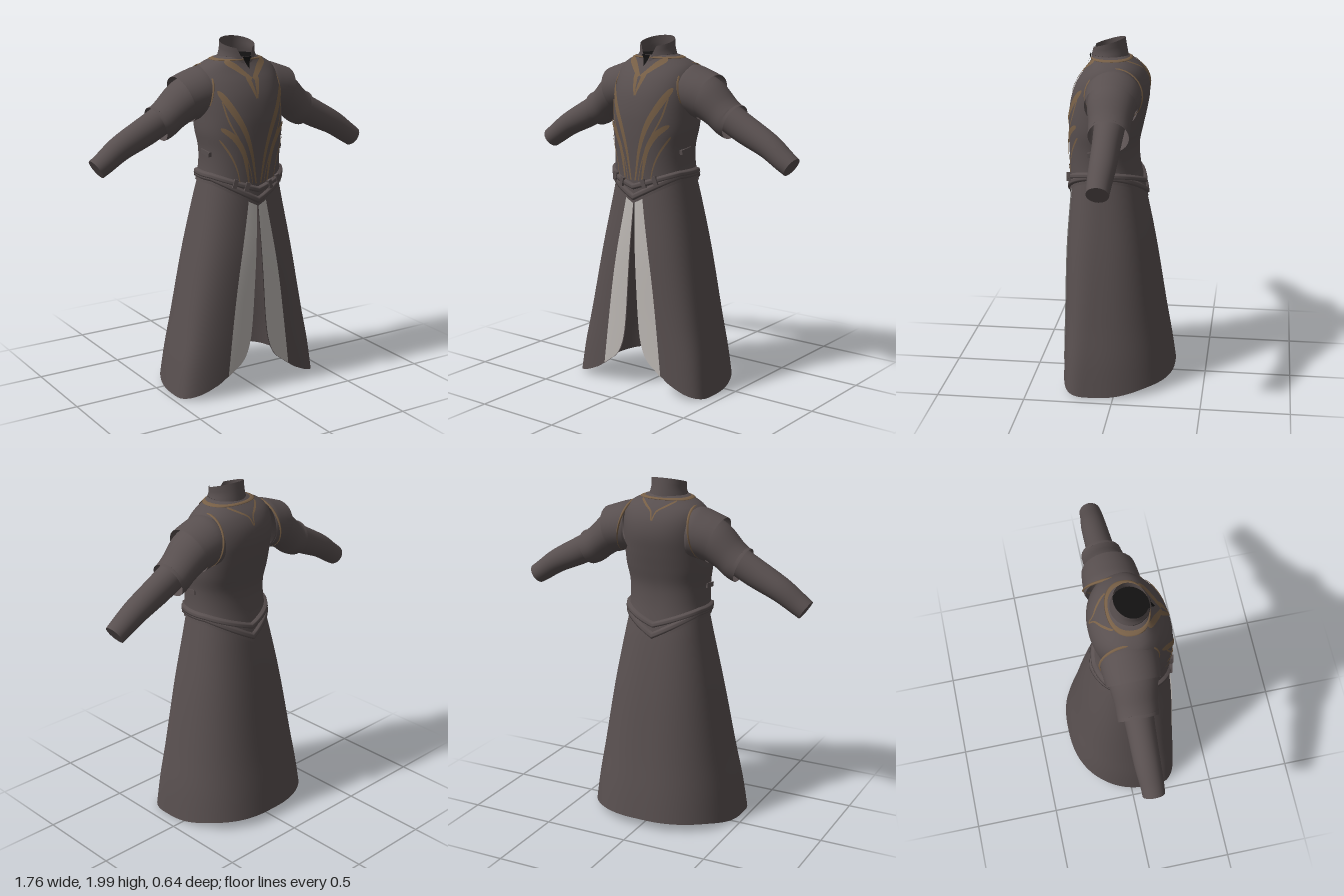
import * as THREE from 'three';
import { mergeVertices } from 'three/addons/utils/BufferGeometryUtils.js';

const paint = (name, color) => {
  const m = new THREE.MeshStandardMaterial({ color, side: THREE.DoubleSide });
  m.name = name;
  return m;
};

// Smooth interpolation through rows of [key, value, value, ...] with rising keys
function interp(rows, k) {
  const n = rows.length;
  if (k <= rows[0][0]) return rows[0].slice(1);
  if (k >= rows[n - 1][0]) return rows[n - 1].slice(1);
  let i = 0;
  while (rows[i + 1][0] < k) i++;
  const a = rows[i], b = rows[i + 1], p = rows[Math.max(0, i - 1)], q = rows[Math.min(n - 1, i + 2)];
  const h = b[0] - a[0], t = (k - a[0]) / h;
  return a.slice(1).map((_, j) => {
    const c = j + 1;
    const m0 = (b[c] - p[c]) / (b[0] - p[0]) * h, m1 = (q[c] - a[c]) / (q[0] - a[0]) * h;
    const t2 = t * t, t3 = t2 * t;
    return (2 * t3 - 3 * t2 + 1) * a[c] + (t3 - 2 * t2 + t) * m0 + (3 * t2 - 2 * t3) * b[c] + (t3 - t2) * m1;
  });
}

// Body outlines: y, half width, front z, back z, z of the widest line, front squareness
const VEST = { n: 2.25, rows: [
  [1.08, 0.262, 0.297, -0.155, 0.07], [1.2, 0.243, 0.292, -0.125, 0.08], [1.3, 0.23, 0.293, -0.105, 0.09],
  [1.4, 0.232, 0.296, -0.10, 0.09], [1.5, 0.248, 0.297, -0.12, 0.08], [1.6, 0.25, 0.292, -0.142, 0.07],
  [1.7, 0.25, 0.272, -0.157, 0.06], [1.78, 0.245, 0.235, -0.145, 0.05], [1.84, 0.225, 0.19, -0.11, 0.045],
  [1.875, 0.175, 0.168, -0.07, 0.05], [1.905, 0.1, 0.16, -0.03, 0.07]] };
const SKIRT = { n: 2.4, rows: [
  [0, 0.45, 0.315, -0.33, 0.13, 3.8], [0.2, 0.422, 0.313, -0.3, 0.12, 3.5], [0.4, 0.384, 0.311, -0.265, 0.105, 3.2],
  [0.8, 0.311, 0.305, -0.2, 0.08, 2.8], [1.1, 0.25, 0.285, -0.14, 0.075, 2.5], [1.25, 0.22, 0.27, -0.1, 0.08, 2.4]] };
const HEM = [[0, 0.13], [0.21, 0.13], [0.38, 0.085], [0.71, 0.04], [1.2, 0.015], [1.7, 0.01], [2.3, 0.05], [3.15, 0.06]];
const SLIT = [[0, 0.002], [0.13, 0.004], [0.55, 0.03], [0.8, 0.052], [0.9, 0.08], [0.96, 0.125], [1, 0.195]];
const FACING = [[0, 0.04], [0.13, 0.058], [0.53, 0.135], [1, 0.2]];

const spow = (v, e) => Math.sign(v) * Math.abs(v) ** e;

// Point on a body at angle phi (0 = front, PI/2 = left side) and height y
function bodyPoint(body, phi, y, off = 0) {
  const [w, zf, zb, zc, nf = body.n] = interp(body.rows, y);
  const c = Math.cos(phi), e = 2 / (c > 0 ? nf : body.n), d = (c > 0 ? zf - zc : zc - zb) + off;
  return [(w + off) * spow(Math.sin(phi), e), y, zc + d * spow(c, e)];
}
// Front angle at which a body reaches x
function angleOf(body, x, y) {
  const r = interp(body.rows, y), n = r[4] ?? body.n;
  return Math.asin(Math.min(1, Math.abs(x) / r[0]) ** (n / 2)) * Math.sign(x);
}

// Smooth surface from a function of (u, v), both 0..1
function surface(nu, nv, fn) {
  const pos = [], idx = [], r = nu + 1;
  for (let j = 0; j <= nv; j++) for (let i = 0; i <= nu; i++) pos.push(...fn(i / nu, j / nv));
  for (let j = 0; j < nv; j++) for (let i = 0; i < nu; i++) {
    const a = j * r + i;
    idx.push(a, a + r, a + 1, a + 1, a + r, a + r + 1);
  }
  const g = new THREE.BufferGeometry();
  g.setAttribute('position', new THREE.Float32BufferAttribute(pos, 3));
  g.setIndex(idx);
  const m = mergeVertices(g, 1e-5);
  m.computeVertexNormals();
  return m;
}

export function createModel() {
  const model = new THREE.Group();
  const cloth = paint('dark cloth', 0x584f4f), light = paint('pale facing', 0xbcb7b3);
  const gold = paint('bronze trim', 0x775f46), black = paint('black inside', 0x121111);
  const add = (name, geo, mat) => {
    const m = new THREE.Mesh(geo, mat);
    m.name = name;
    model.add(m);
    return m;
  };
  const TAU = Math.PI * 2;
  const vee = phi => Math.max(0, 1 - Math.abs(bodyPoint(VEST, phi, 1.2)[0]) / 0.23);
  const vestHem = phi => 1.215 - 0.125 * vee(phi);

  // Vest with pointed lower edge
  add('vest', surface(72, 40, (u, v) => {
    const phi = u * TAU, y = 1.905 + (vestHem(phi) - 1.905) * v;
    return bodyPoint(VEST, phi, y);
  }), cloth);

  // Raised bands round the body: two belts and the trim at the neck
  const band = (name, yOf, h, lift, mat) => add(name, surface(72, 5, (u, v) => {
    const phi = u * TAU;
    return bodyPoint(VEST, phi, yOf(phi) + (v - 0.5) * h, v === 0 || v === 1 ? -0.004 : lift);
  }), mat);
  band('lowerBelt', p => vestHem(p) + 0.035, 0.042, 0.012, cloth);
  band('upperBelt', p => 1.262 - 0.078 * vee(p), 0.036, 0.016, cloth);
  band('neckBand', () => 1.889, 0.012, 0.005, gold);

  // Open skirt, a little wider on its right, with pale facings laid along the slit
  const skirtPoint = (s, phi, t, off = 0) => {
    const y = 1.25 + (interp(HEM, Math.abs(phi))[0] - 1.25) * t;
    const p = bodyPoint(SKIRT, phi, y, off);
    return [s * p[0] - 0.014 * t * Math.sin(phi) ** 2, p[1], p[2]];
  };
  const edge = (table, t) => angleOf(SKIRT, interp(table, t)[0], 1.25 - 1.12 * t);
  for (const s of [1, -1]) {
    add((s > 0 ? 'left' : 'right') + 'Facing', surface(6, 48, (u, t) => {
      const a = edge(SLIT, t), b = edge(FACING, t);
      return skirtPoint(s, a + (b - a) * u, t, 0.006);
    }), light);
  }
  add('skirt', surface(120, 48, (u, t) => {
    const a = edge(SLIT, t), phi = a + (TAU - 2 * a) * u;
    return phi <= Math.PI ? skirtPoint(1, phi, t) : skirtPoint(-1, TAU - phi, t);
  }), cloth);

  // Standing collar, open in a V at the front
  add('collar', surface(40, 8, (u, v) => {
    const gap = 0.04 + 0.5 * v, phi = gap + (TAU - 2 * gap) * u;
    const y = 1.855 + (1.974 - 0.026 * Math.cos(phi) - 1.855) * v;
    const r = 0.122 - 0.022 * Math.min(1, v * 1.6);
    const d = Math.cos(phi) > 0 ? 0.105 - 0.012 * v : 0.115 - 0.025 * v;
    return [r * Math.sin(phi), y, 0.07 + d * Math.cos(phi)];
  }), cloth);
  const neck = add('neckInside', new THREE.CircleGeometry(1, 32), black);
  neck.rotation.x = -Math.PI / 2;
  neck.scale.set(0.108, 0.101, 1);
  neck.position.set(0, 1.906, 0.068);

  // Ribbon laid on the vest along [x, y] points, swelling near its start
  function ribbon(name, pts, w0, w1, mat, back = false) {
    const curve = new THREE.CatmullRomCurve3(pts.map(p => new THREE.Vector3(p[0], p[1], 0)));
    for (const s of [1, -1]) add(name, surface(4, 28, (u, t) => {
      const p = curve.getPoint(t), d = curve.getTangent(t);
      const w = (w0 + (w1 - w0) * Math.sin(Math.PI * Math.sqrt(t))) * (u - 0.5);
      const y = p.y + d.x * w, phi = angleOf(VEST, p.x - d.y * w, y);
      const q = bodyPoint(VEST, back ? Math.PI - phi : phi, y, 0.006);
      return [s * q[0], q[1], q[2]];
    }), mat);
  }
  ribbon('longScroll', [[0.195, 1.735], [0.145, 1.64], [0.088, 1.53], [0.045, 1.4], [0.014, 1.22]], 0.008, 0.034, gold);
  ribbon('innerScroll', [[0.185, 1.68], [0.16, 1.57], [0.09, 1.42], [0.05, 1.3], [0.035, 1.22]], 0.004, 0.008, gold);
  ribbon('lowerScroll', [[0.195, 1.535], [0.135, 1.48], [0.09, 1.4], [0.07, 1.31], [0.055, 1.21]], 0.007, 0.03, gold);
  ribbon('sideScroll', [[0.2, 1.47], [0.15, 1.38], [0.12, 1.3], [0.105, 1.22]], 0.004, 0.009, gold);
  ribbon('neckTrim', [[0.118, 1.883], [0.078, 1.855], [0.04, 1.82], [0.005, 1.79]], 0.016, 0.036, gold);
  ribbon('neckPoint', [[0.03, 1.81], [0.018, 1.76], [0.002, 1.69]], 0.008, 0.026, gold);
  ribbon('backNeckTrim', [[0.1, 1.883], [0.06, 1.86], [0.016, 1.83], [0.002, 1.785]], 0.007, 0.01, gold, true);

  // Dark opening at the throat
  add('throatOpening', surface(4, 8, (u, v) => {
    const y = 1.84 + 0.065 * v;
    const p = bodyPoint(VEST, angleOf(VEST, (u - 0.5) * 0.05 * v, y), y, 0.012);
    return [p[0], y, Math.max(p[2], 0.176)];
  }), black);

  // Sleeves lofted through stations: x, y, z, radius across, radius in depth
  function sleeve(name, s, st, mat, closed = false) {
    const rows = st.map((p, i) => [i, ...p]), last = st.length - 1;
    const nv = last * 7;
    const at = (u, v) => {
      const k = v * last, [x, y, z, rn, rz] = interp(rows, k);
      const a = interp(rows, Math.max(0, k - 0.1)), b = interp(rows, Math.min(last, k + 0.1));
      const l = Math.hypot(b[0] - a[0], b[1] - a[1]), nx = -(b[1] - a[1]) / l, ny = (b[0] - a[0]) / l;
      const c = Math.cos(u * TAU) * rn;
      return [s * (x + nx * c), y + ny * c, z + Math.sin(u * TAU) * rz];
    };
    add(name, surface(32, nv, at), mat);
    if (closed) add(name + 'End', surface(32, 1, (u, v) => {
      const p = at(u, 1), e = st[last];
      return [p[0] + (s * e[0] - p[0]) * v, p[1] + (e[1] - p[1]) * v, p[2] + (e[2] - p[2]) * v];
    }), mat);
  }
  for (const s of [1, -1]) {
    const side = s > 0 ? 'left' : 'right';
    sleeve(side + 'ArmholeTrim', s, [
      [0.212, 1.711, 0.02, 0.149, 0.155], [0.217, 1.712, 0.02, 0.153, 0.163], [0.223, 1.713, 0.02, 0.147, 0.156]], gold);
    sleeve(side + 'ShoulderCap', s, [
      [0.19, 1.709, 0.02, 0.14, 0.15], [0.21, 1.707, 0.02, 0.143, 0.155], [0.265, 1.695, 0.02, 0.136, 0.152],
      [0.325, 1.675, 0.02, 0.134, 0.145]], cloth);
    sleeve(side + 'UpperSleeve', s, [
      [0.26, 1.69, 0.02, 0.122, 0.135], [0.32, 1.662, 0.02, 0.115, 0.13], [0.4, 1.602, 0.017, 0.1, 0.115],
      [0.45, 1.564, 0.015, 0.1, 0.112], [0.482, 1.551, 0.013, 0.1, 0.11]], cloth);
    sleeve(side + 'Forearm', s, [
      [0.42, 1.59, 0.015, 0.08, 0.083], [0.55, 1.52, 0.015, 0.08, 0.076], [0.7, 1.445, 0.015, 0.07, 0.071],
      [0.8, 1.378, 0.02, 0.062, 0.064], [0.85, 1.345, 0.02, 0.058, 0.06]], cloth, true);

    // Side strap and belt buckles
    const strap = add(side + 'SideStrap', new THREE.BoxGeometry(0.02, 0.026, 0.085), cloth);
    strap.position.set(s * 0.228, 1.385, 0.12);
    strap.rotation.x = 0.12;
    for (const x of [0.07, 0.13]) {
      const y = 1.262 - 0.078 * (1 - x / 0.23), p = bodyPoint(VEST, angleOf(VEST, x, y), y, 0.014);
      const buckle = add(side + 'Buckle', new THREE.BoxGeometry(0.024, 0.05, 0.016), cloth);
      buckle.position.set(s * p[0], y, p[2]);
      buckle.rotation.set(0, s * 0.25, s * 0.3);
    }
  }
  return model;
}
